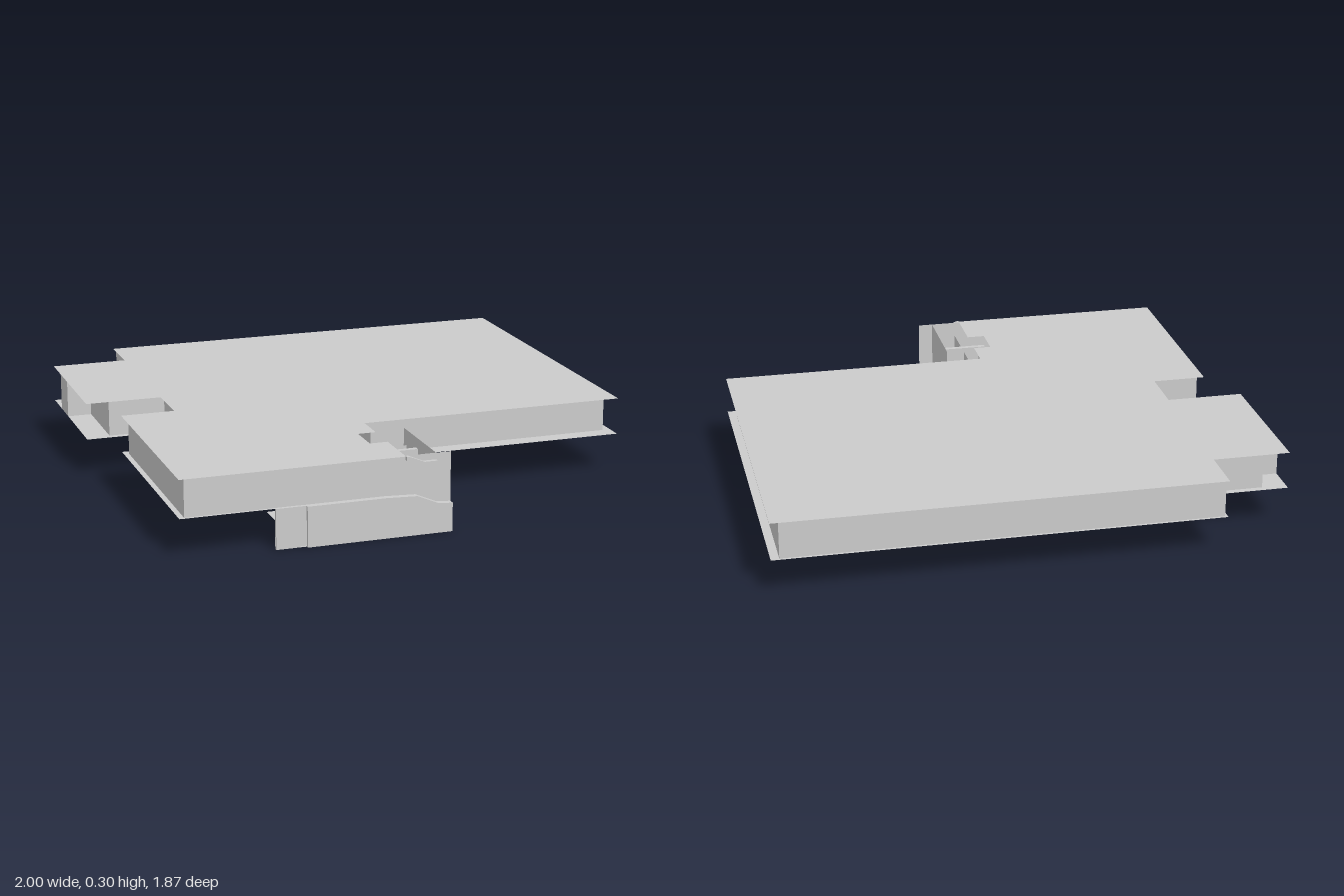
import * as THREE from 'three';

const grey = new THREE.MeshStandardMaterial({ color: 0xcccccc, side: THREE.DoubleSide, flatShading: true });
const dark = new THREE.MeshStandardMaterial({ color: 0x444444 });
const green = new THREE.MeshStandardMaterial({ color: 0x146b14 });

const FLOOR = 0.155, ROOF = 0.3, BASE = 0.004;

// Horizontal sheet from an outline of [x, z] corners
function sheet(name, outline, y) {
  const shape = new THREE.Shape(outline.map(([x, z]) => new THREE.Vector2(x, -z)));
  const mesh = new THREE.Mesh(new THREE.ShapeGeometry(shape).rotateX(-Math.PI / 2), grey);
  mesh.position.y = y;
  mesh.name = name;
  return mesh;
}

// Vertical single-sheet walls that follow a path of [x, z] corners
function walls(name, path, y0, y1) {
  const group = new THREE.Group();
  group.name = name;
  for (let i = 0; i < path.length - 1; i++) {
    const [ax, az] = path[i], [bx, bz] = path[i + 1];
    const panel = new THREE.Mesh(
      new THREE.PlaneGeometry(Math.hypot(bx - ax, bz - az), y1 - y0), grey);
    panel.position.set((ax + bx) / 2, (y0 + y1) / 2, (az + bz) / 2);
    panel.rotation.y = -Math.atan2(bz - az, bx - ax);
    panel.name = 'wallPanel';
    group.add(panel);
  }
  return group;
}

// Box given by its limits
function block(name, x0, x1, y0, y1, z0, z1, material = grey) {
  const mesh = new THREE.Mesh(new THREE.BoxGeometry(x1 - x0, y1 - y0, z1 - z0), material);
  mesh.position.set((x0 + x1) / 2, (y0 + y1) / 2, (z0 + z1) / 2);
  mesh.name = name;
  return mesh;
}

// Upright panel from [x, y] corners, with depth along z
function profilePanel(name, points, z, depth) {
  const shape = new THREE.Shape(points.map(([x, y]) => new THREE.Vector2(x, y)));
  const mesh = new THREE.Mesh(
    new THREE.ExtrudeGeometry(shape, { depth, bevelEnabled: false }), grey);
  mesh.position.z = z;
  mesh.name = name;
  return mesh;
}

export function createModel() {
  const model = new THREE.Group();
  model.name = 'building';

  // Roof and main floor share the stepped outline, but differ at the stairwell
  const outline = [
    [-0.06, 0.465], [1, 0.465], [1, -0.935], [-0.7, -0.935], [-0.7, -0.735],
    [-1, -0.735], [-1, -0.135], [-0.7, -0.135], [-0.7, 0.068], [-0.91, 0.068], [-0.91, 0.915],
  ];
  model.add(sheet('roof', [...outline,
    [-0.06, 0.915], [-0.06, 0.72], [-0.13, 0.72], [-0.13, 0.59], [-0.06, 0.59]], ROOF));
  model.add(sheet('mainFloor', [...outline,
    [-0.46, 0.915], [-0.46, 0.58], [-0.06, 0.58]], FLOOR));
  model.add(sheet('lowerFloor', [[-0.465, 0.925], [0.11, 0.925], [0.11, 0.51], [-0.465, 0.51]], BASE));

  // Outer walls of the main storey, with the small bay on the right side
  model.add(walls('outerWalls', [
    [-0.89, 0.905], [-0.89, 0.1], [-0.68, 0.1], [-0.68, -0.16], [-0.905, -0.16],
    [-0.905, -0.48], [-1, -0.48], [-1, -0.6], [-0.905, -0.6], [-0.905, -0.71],
    [-0.69, -0.71], [-0.69, -0.925], [0.968, -0.925], [0.968, 0.4],
    [-0.08, 0.4], [-0.08, 0.59],
  ], FLOOR, ROOF));
  model.add(walls('frontWall', [[-0.89, 0.905], [0.118, 0.905]], FLOOR, ROOF));

  // Lower storey and the stairwell beside it
  model.add(walls('lowerFrontWall', [[-0.555, 0.905], [0.118, 0.905]], 0, FLOOR));
  model.add(walls('lowerWalls', [[0.06, 0.57], [-0.45, 0.57], [-0.45, 0.905]], BASE, FLOOR));
  model.add(walls('stairwellWall', [[0.06, 0.905], [0.06, 0.57]], BASE, ROOF));
  model.add(walls('stairwellBackWall', [[0.06, 0.6], [-0.06, 0.6]], FLOOR, 0.24));
  model.add(walls('stairDivider', [[-0.04, 0.6], [-0.04, 0.905]], BASE, 0.24));
  model.add(block('stairLanding', -0.13, 0.06, 0.19, 0.2, 0.6, 0.7));
  model.add(block('landingBeam', -0.13, 0.06, 0.2, 0.26, 0.7, 0.72));

  // Projecting panels on the front face, with sloping lower right ends
  model.add(profilePanel('lowerFrontPanel', [
    [-0.44, 0], [0.118, 0], [0.118, 0.11], [0.06, 0.115], [-0.02, 0.15], [-0.14, FLOOR], [-0.44, FLOOR],
  ], 0.906, 0.024));
  model.add(block('lowerFrontReturn', -0.555, -0.44, 0, FLOOR, 0.906, 0.918));
  model.add(profilePanel('upperFrontTrim', [
    [-0.06, 0.285], [0.0, 0.26], [0.06, 0.26], [0.06, 0.275], [0.01, 0.275], [-0.05, ROOF], [-0.06, ROOF],
  ], 0.906, 0.016));

  // Shallow step under the back corner
  model.add(block('backStep', -0.67, -0.555, 0.147, FLOOR, -0.9, -0.81));

  // Rows of slim bars with short cross pieces just beneath the floor
  const rows = new THREE.Group();
  rows.name = 'underfloorBars';
  for (const z of [0.03, 0.14, 0.27]) {
    for (const [x0, x1] of [[0.25, 0.38], [0.44, 0.57], [0.63, 0.75], [0.8, 0.92]]) {
      rows.add(block('longBar', x0, x1, 0.152, 0.1545, z - 0.003, z + 0.003, dark));
      for (const t of [0.25, 0.75]) {
        const x = x0 + (x1 - x0) * t;
        rows.add(block('crossBar', x - 0.003, x + 0.003, 0.152, 0.1545, z - 0.035, z + 0.035, dark));
      }
    }
  }
  rows.add(block('lowerBar', -0.14, -0.05, 0, 0.0035, 0.688, 0.694, dark));
  model.add(rows);

  // Small round planters
  for (const [x, z] of [[0, -0.52], [-0.08, -0.515], [-0.55, 0.06]]) {
    const planter = new THREE.Mesh(new THREE.CylinderGeometry(0.025, 0.025, 0.006, 10), green);
    planter.position.set(x, 0.154, z);
    planter.name = 'planter';
    model.add(planter);
  }
  return model;
}
